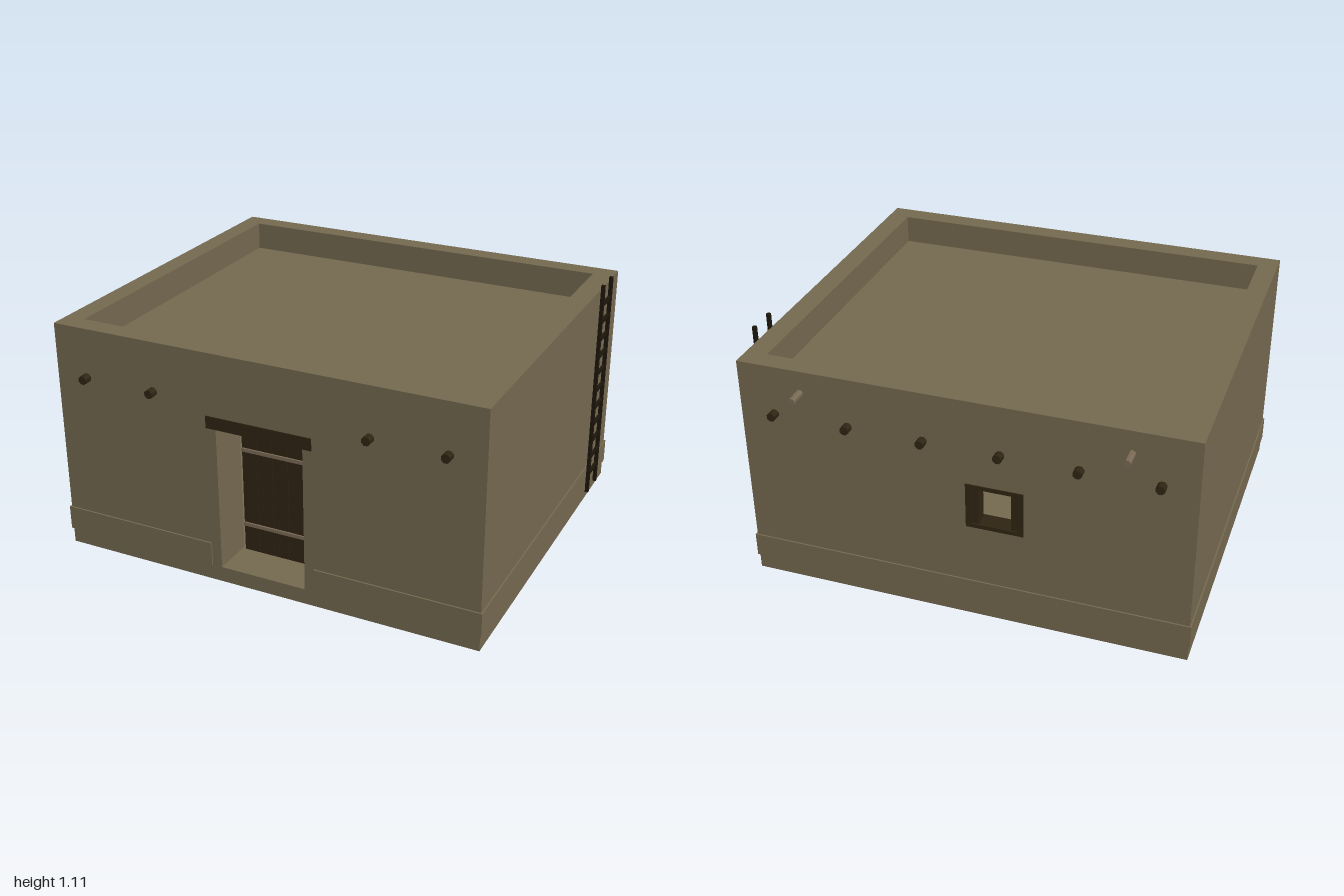
import * as THREE from 'three';

const mat = (name, color) => Object.assign(new THREE.MeshStandardMaterial({ color }), { name });

export function createModel() {
  const model = new THREE.Group();
  model.name = 'adobeHouse';
  const clay = mat('clay', 0x75694f);
  const wood = mat('darkWood', 0x2f2413);
  const ladderWood = mat('ladderWood', 0x1d160b);
  const paleWood = mat('paleWood', 0x7a6a55);

  const add = (name, geo, material, parent = model) => {
    const mesh = new THREE.Mesh(geo, material);
    mesh.name = name;
    parent.add(mesh);
    return mesh;
  };
  // box given by its minimum and maximum on each axis
  const box = (name, x0, x1, y0, y1, z0, z1, material, parent) => {
    const mesh = add(name, new THREE.BoxGeometry(x1 - x0, y1 - y0, z1 - z0), material, parent);
    mesh.position.set((x0 + x1) / 2, (y0 + y1) / 2, (z0 + z1) / 2);
    return mesh;
  };
  const rect = (x0, x1, y0, y1, Type = THREE.Shape) => {
    const s = new Type();
    s.moveTo(x0, y0);
    s.lineTo(x1, y0);
    s.lineTo(x1, y1);
    s.lineTo(x0, y1);
    s.closePath();
    return s;
  };
  // rectangular slab with a rectangular opening
  const slabWithHole = (outer, hole, depth) => {
    const shape = rect(...outer);
    shape.holes.push(rect(...hole, THREE.Path));
    return new THREE.ExtrudeGeometry(shape, { depth, bevelEnabled: false });
  };

  // shell
  const X0 = -0.99, X1 = 0.965, Z0 = -0.82, Z1 = 0.857;
  const FLOOR = 0.07, CEIL = 0.86, ROOF = 0.93, TOP = 1.06, T = 0.19;
  box('floor', X0, X1, 0, FLOOR, Z0, Z1, clay);
  box('roof', X0, X1, CEIL, ROOF, Z0, Z1, clay);
  box('rightWall', X0, X0 + T, FLOOR, CEIL, Z0 + T, Z1 - T, clay);
  box('leftWall', X1 - T, X1, FLOOR, CEIL, Z0 + T, Z1 - T, clay);
  const parapet = add('parapet',
    slabWithHole([X0, X1, -Z1, -Z0], [-0.9, 0.87, -0.765, 0.73], TOP - ROOF), clay);
  parapet.rotation.x = -Math.PI / 2;
  parapet.position.y = ROOF;

  // front wall with a doorway reaching the floor
  const doorX0 = -0.215, doorX1 = 0.185, doorTop = 0.725;
  box('frontWallRight', X0, doorX0, FLOOR, CEIL, Z1 - T, Z1, clay);
  box('frontWallLeft', doorX1, X1, FLOOR, CEIL, Z1 - T, Z1, clay);
  box('frontWallTop', doorX0, doorX1, doorTop, CEIL, Z1 - T, Z1, clay);

  // back wall with a window
  const win = [-0.28, -0.03, 0.46, 0.67];
  add('backWall', slabWithHole([X0, X1, FLOOR, CEIL], win, T), clay).position.z = Z0;

  // shallow skirting band, broken at the doorway
  const P = 0.007, S0 = 0.07, S1 = 0.18;
  box('skirtingFrontRight', X0 - P, -0.26, S0, S1, Z1 - 0.01, Z1 + P, clay);
  box('skirtingFrontLeft', 0.23, X1 + P, S0, S1, Z1 - 0.01, Z1 + P, clay);
  box('skirtingBack', X0 - P, X1 + P, S0, S1, Z0 - P, Z0 + 0.01, clay);
  box('skirtingRight', X0 - P, X0 + 0.01, S0, S1, Z0, Z1, clay);
  box('skirtingLeft', X1 - 0.01, X1 + P, S0, S1, Z0, Z1, clay);

  // plank door set deep in the doorway
  const door = new THREE.Group();
  door.name = 'door';
  model.add(door);
  const doorZ = 0.68, plankW = 0.0735;
  for (let i = 0; i < 5; i++) {
    const x = -0.2 + i * plankW;
    box('plank', x, x + plankW - 0.002, 0.07, 0.71, doorZ - 0.025, doorZ, wood, door);
  }
  for (const y of [0.2, 0.56]) {
    box('doorBand', -0.2, 0.166, y - 0.008, y + 0.008, doorZ - 0.03, doorZ + 0.008, paleWood, door);
  }
  box('latch', 0.16, 0.185, 0.322, 0.338, doorZ - 0.02, doorZ + 0.012, wood, door);
  box('lintel', -0.26, 0.226, 0.725, 0.78, Z1 - 0.1, Z1 + 0.004, wood);

  // window frame with narrow shutters folded back on each side
  const frame = new THREE.Group();
  frame.name = 'windowFrame';
  model.add(frame);
  const frameGeo = slabWithHole(win, [win[0] + 0.025, win[1] - 0.025, win[2] + 0.018, win[3] - 0.018], 0.08);
  add('frame', frameGeo, wood, frame).position.z = Z0 - 0.005;
  for (const [a, b] of [[win[0] + 0.025, win[0] + 0.055], [win[1] - 0.055, win[1] - 0.025]]) {
    box('shutter', a, b, win[2] + 0.018, win[3] - 0.018, Z0 + 0.002, Z0 + 0.06, wood, frame);
  }

  // roof beam ends and drain spouts
  const rod = (name, x, y, z0, z1, r, material) => {
    const geo = new THREE.CylinderGeometry(r, r, z1 - z0, 8).toNonIndexed();
    geo.rotateY(Math.PI / 8);
    geo.rotateX(Math.PI / 2);
    geo.computeVertexNormals();
    add(name, geo, material).position.set(x, y, (z0 + z1) / 2);
  };
  const beams = [-0.84, -0.51, -0.18, 0.15, 0.48, 0.81];
  for (const x of beams) {
    rod('beamEnd', x, 0.838, Z0 - 0.037, Z0 + 0.03, 0.02, wood);
    if (Math.abs(x) > 0.3) rod('beamEnd', x, 0.838, Z1 - 0.03, Z1 + 0.037, 0.02, wood);
  }
  for (const x of [-0.715, 0.685]) rod('drainSpout', x, 0.96, -0.897, -0.74, 0.0155, paleWood);

  // ladder beside the left wall
  const ladder = new THREE.Group();
  ladder.name = 'ladder';
  model.add(ladder);
  for (const z of [-0.477, -0.602]) {
    box('ladderRail', 0.984, 1, 0.07, 1.105, z - 0.008, z + 0.008, ladderWood, ladder);
  }
  for (let i = 0; i < 11; i++) {
    const y = 0.165 + i * 0.0845;
    box('rung', 0.986, 0.998, y - 0.008, y + 0.008, -0.6, -0.478, ladderWood, ladder);
  }
  return model;
}
